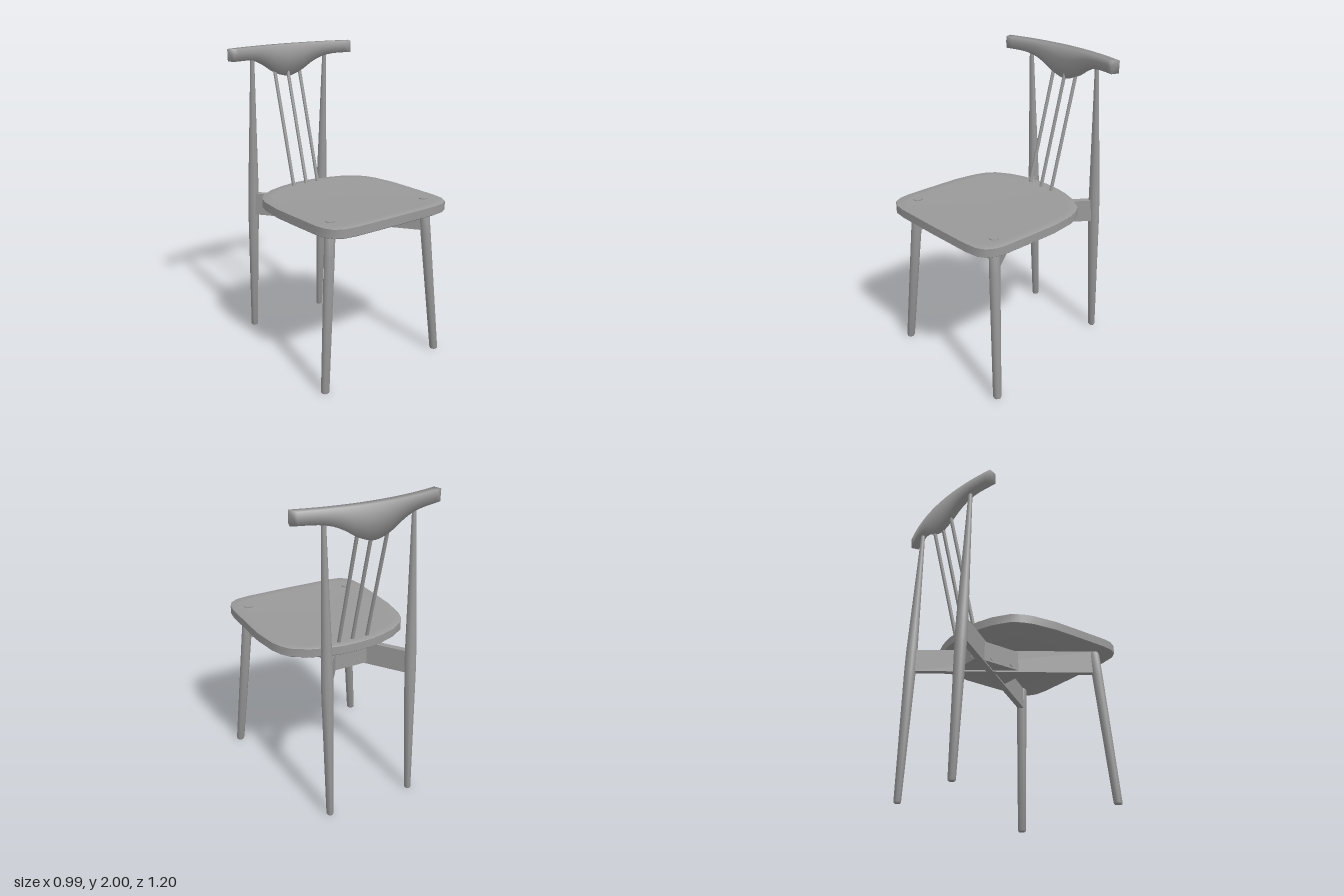
import * as THREE from 'three';
import { toCreasedNormals } from 'three/addons/utils/BufferGeometryUtils.js';

const material = new THREE.MeshStandardMaterial({ color: 0x999999, side: THREE.DoubleSide });

function part(name, geometry, crease = 0.7) {
  const mesh = new THREE.Mesh(toCreasedNormals(geometry, crease), material);
  mesh.name = name;
  return mesh;
}

// Turned rod: [radius, y] profile, leaning linearly from foot [x, y, z] to head [x, y, z]
function turned(name, profile, foot, head, sides = 10) {
  const points = profile.map(([r, y]) => new THREE.Vector2(r, y));
  const g = new THREE.LatheGeometry(points, sides);
  const p = g.attributes.position;
  for (let i = 0; i < p.count; i++) {
    const t = (p.getY(i) - foot[1]) / (head[1] - foot[1]);
    p.setX(i, p.getX(i) + THREE.MathUtils.lerp(foot[0], head[0], t));
    p.setZ(i, p.getZ(i) + THREE.MathUtils.lerp(foot[2], head[2], t));
  }
  return part(name, g);
}

// Surface through equal-length closed rings of points
function loft(rings, capEnds = false) {
  const n = rings[0].length, index = [];
  for (let r = 0; r < rings.length - 1; r++)
    for (let i = 0; i < n; i++) {
      const a = r * n + i, b = r * n + (i + 1) % n;
      index.push(a, b, a + n, b, b + n, a + n);
    }
  if (capEnds) {
    const e = (rings.length - 1) * n;
    for (let i = 1; i < n - 1; i++) index.push(0, i + 1, i, e, e + i, e + i + 1);
  }
  const g = new THREE.BufferGeometry();
  g.setAttribute('position', new THREE.Float32BufferAttribute(rings.flat(2), 3));
  g.setIndex(index);
  return g;
}

// Seat: one outline scaled through a softly dished section
function makeSeat() {
  const half = [[0, -0.385], [0.1, -0.38], [0.2, -0.36], [0.3, -0.325], [0.4, -0.26], [0.44, -0.2],
    [0.465, -0.13], [0.488, 0.03], [0.49, 0.2], [0.49, 0.43], [0.48, 0.5], [0.45, 0.555],
    [0.4, 0.585], [0.31, 0.597], [0, 0.6]];
  const outline = [...half, ...half.slice(1, -1).reverse().map(([x, z]) => [-x, z])];
  const section = [[0, 1.068], [0.6, 1.069], [0.88, 1.073], [0.985, 1.075], [1, 1.07],
    [1, 1.016], [0.985, 1.01], [0.6, 1.01], [0, 1.01]];
  const rings = section.map(([s, y]) => outline.map(([x, z]) => [x * s, y, 0.1 + (z - 0.1) * s]));
  return part('seat', loft(rings.reverse()), 0.8);
}

// Backrest: bowed rail, softly shaded, whose lower edge swells downward in the middle
function makeBackrest() {
  const lower = new THREE.CatmullRomCurve3([[-0.48, 1.922], [-0.33, 1.917], [-0.25, 1.9], [-0.18, 1.867],
    [-0.1, 1.817], [0, 1.787], [0.1, 1.817], [0.18, 1.867], [0.25, 1.9], [0.33, 1.917], [0.48, 1.922]]
    .map(([x, y]) => new THREE.Vector3(x, y, 0)));
  const rings = lower.getPoints(40).map(({ x, y }) => {
    const z = -0.525 + 0.07 * (x / 0.48) ** 2;
    const slope = 0.14 * x / 0.48 ** 2, len = Math.hypot(1, slope);
    const at = (d, h) => [x - slope / len * d, h, z + d / len];
    const drop = 2 - y, thin = 0.12 * Math.max(0, drop - 0.07);
    return [at(-0.029, 2), at(-0.027, y), at(0.028 - thin, y), at(0.029, 2 - drop * 0.4), at(0.026, 2)];
  });
  return part('backrest', loft(rings, true), 1.75);
}

// Crossed rails under the seat with wedge blocks and screws at the crossing
function makeUnderframe() {
  const group = new THREE.Group();
  group.name = 'underframe';
  for (const s of [-1, 1]) {
    const a = new THREE.Vector2(-s * 0.3, -0.54), b = new THREE.Vector2(s * 0.385, 0.43);
    const rail = part('crossRail', new THREE.BoxGeometry(0.04, 0.15, a.distanceTo(b)));
    rail.position.set((a.x + b.x) / 2, 0.935, (a.y + b.y) / 2);
    rail.rotation.y = Math.atan2(b.x - a.x, b.y - a.y);
    group.add(rail);
  }
  const centre = -0.117;
  // [turn, half width of face, distance of face from the crossing, screw offset]
  for (const [turn, w, d, screw] of [[0, 0.113, 0.195, 0.055], [1, 0.133, 0.119, 0.077],
    [2, 0.113, 0.195, 0.055], [3, 0.133, 0.119, 0.077]]) {
    const corner = new THREE.Group();
    corner.name = 'cornerBlock';
    const wedge = new THREE.Shape([new THREE.Vector2(0, 0), new THREE.Vector2(w, -d), new THREE.Vector2(-w, -d)]);
    const block = part('block', new THREE.ExtrudeGeometry(wedge, { depth: 0.13, bevelEnabled: false }));
    block.rotation.x = -Math.PI / 2;
    block.position.y = 0.87;
    corner.add(block);
    for (const s of [-1, 1]) {
      const head = part('screw', new THREE.CylinderGeometry(0.013, 0.013, 0.01, 12));
      head.rotation.x = Math.PI / 2;
      head.position.set(s * screw, 0.897, d);
      corner.add(head);
    }
    corner.rotation.y = turn * Math.PI / 2;
    corner.position.z = centre;
    group.add(corner);
  }
  return group;
}

export function createModel() {
  const model = new THREE.Group();
  model.name = 'chair';
  model.add(makeSeat(), makeBackrest(), makeUnderframe());

  // Splayed front legs pass through the seat; back legs rise to the backrest
  for (const s of [-1, 1]) {
    model.add(turned('frontLeg',
      [[0, 0], [0.023, 0], [0.027, 0.008], [0.034, 0.85], [0.034, 1.0], [0.029, 1.012], [0.029, 1.078], [0, 1.078]],
      [s * 0.468, 0, 0.49], [s * 0.379, 1.078, 0.431]));
    model.add(turned('backLeg',
      [[0, 0], [0.019, 0], [0.023, 0.008], [0.037, 0.85], [0.037, 1.0], [0.014, 1.9], [0.013, 1.95], [0, 1.95]],
      [s * 0.295, 0, -0.578], [s * 0.294, 1.95, -0.498]));
  }

  // Slim spindles leaning from the seat to the backrest
  for (const x of [-0.105, 0, 0.096])
    model.add(turned('spindle', [[0, 1.04], [0.012, 1.04], [0.012, 1.84], [0, 1.84]],
      [x, 1.04, -0.315], [x, 1.84, -0.526]));

  return model;
}
